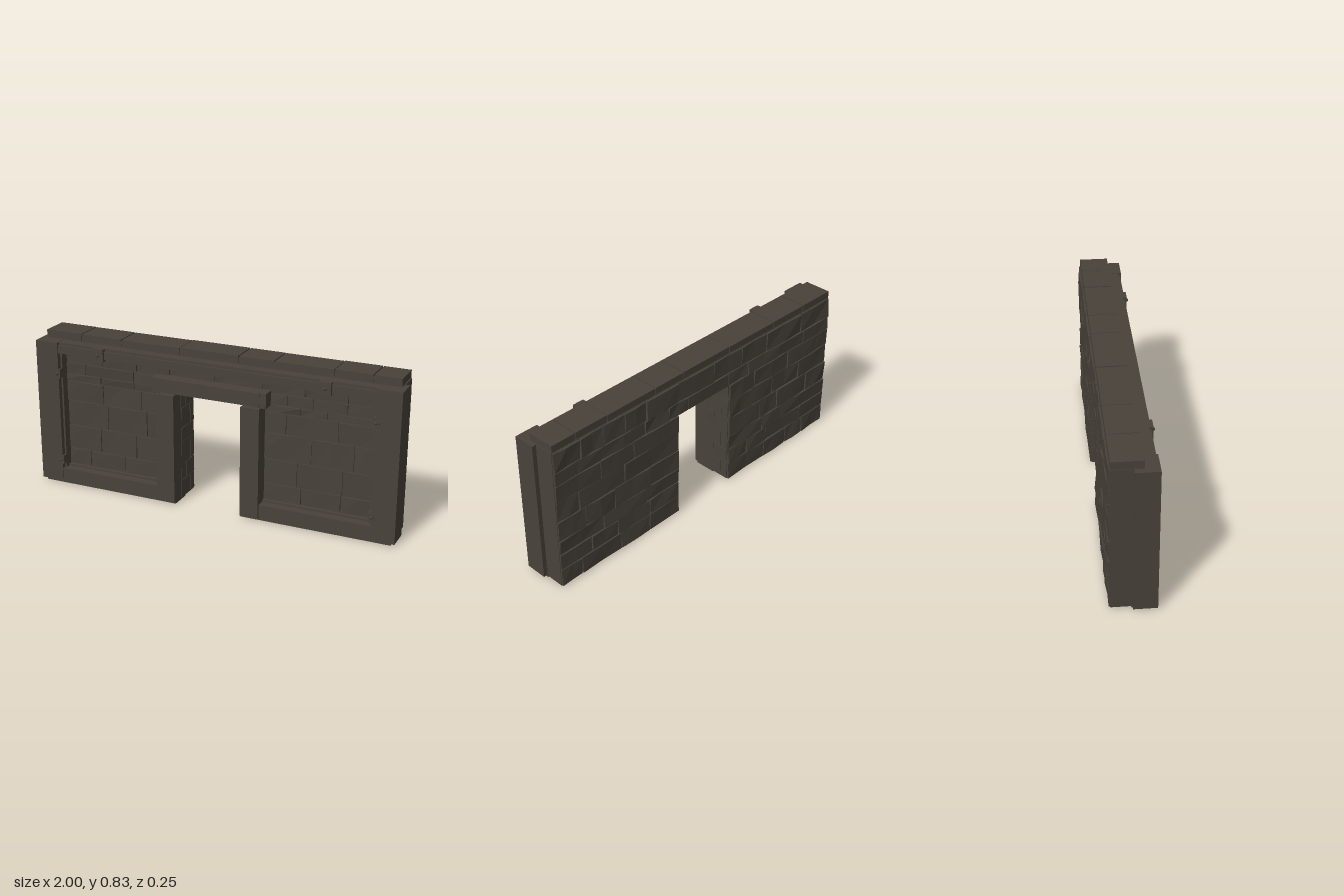
import * as THREE from 'three';

export function createModel() {
  const root = new THREE.Group();
  root.name = 'wallWithDoorway';
  const stone = new THREE.MeshStandardMaterial({ color: 0x48423a, flatShading: true });
  stone.name = 'dark stone';

  let seed = 7;
  const rnd = () => (seed = (seed * 16807) % 2147483647) / 2147483647;

  const add = (name, geo, parent = root) => {
    const m = new THREE.Mesh(geo, stone);
    m.name = name;
    parent.add(m);
    return m;
  };
  // Box given by its limits on each axis
  const box = (name, x0, x1, y0, y1, z0, z1, parent) => {
    const g = new THREE.BoxGeometry(x1 - x0, y1 - y0, z1 - z0);
    g.translate((x0 + x1) / 2, (y0 + y1) / 2, (z0 + z1) / 2);
    return add(name, g, parent);
  };

  // Wall core with the doorway cut out
  const L = -0.19, R = 0.18, TOP = 0.61, END = 0.973;
  const s = new THREE.Shape();
  [[-END, 0.008], [L, 0.008], [L, TOP], [R, TOP], [R, 0.008], [END, 0.008], [END, 0.795], [-END, 0.795]]
    .forEach(([x, y], i) => (i ? s.lineTo(x, y) : s.moveTo(x, y)));
  const core = new THREE.ExtrudeGeometry(s, { depth: 0.142, bevelEnabled: false });
  core.translate(0, 0, -0.11);
  add('wallCore', core);

  // Rough brick on the local xy plane, its +z face uneven
  const brick = (parent, x0, x1, y0, y1, depth, rough) => {
    const g = new THREE.BoxGeometry(x1 - x0 - 0.005, y1 - y0 - 0.005, depth, 2, 1, 1);
    const p = g.attributes.position;
    const offsets = new Map();
    for (let i = 0; i < p.count; i++) {
      if (p.getZ(i) < 0) continue;
      const key = p.getX(i).toFixed(3) + p.getY(i).toFixed(3);
      if (!offsets.has(key)) offsets.set(key, (rnd() - 0.7) * rough);
      p.setZ(i, p.getZ(i) + offsets.get(key));
    }
    g.translate((x0 + x1) / 2, (y0 + y1) / 2, depth / 2);
    g.computeVertexNormals();
    add('brick', g, parent);
  };
  const run = (parent, a, b, y0, y1, depth, rough) => {
    let x = a;
    while (x < b - 0.001) {
      let e = x + 0.13 + rnd() * 0.17;
      if (b - e < 0.09) e = b;
      brick(parent, x, e, y0, y1, depth, rough);
      x = e;
    }
  };
  const face = (name, rows, half, l, r, depth, rough) => {
    const g = new THREE.Group();
    g.name = name;
    for (let i = 0; i < rows.length - 1; i++) {
      const [y0, y1] = [rows[i], rows[i + 1]];
      if (y0 < TOP - 0.001) {
        run(g, -half, l, y0, y1, depth, rough);
        run(g, r, half, y0, y1, depth, rough);
      } else run(g, -half, half, y0, y1, depth, rough);
    }
    root.add(g);
    return g;
  };
  const back = face('backBricks', [0.008, 0.11, 0.2, 0.285, 0.4, 0.51, TOP, 0.685, 0.795], END, -R, -L, 0.012, 0.009);
  back.rotation.y = Math.PI;
  back.position.z = -0.109;
  const front = face('frontBricks', [0.085, 0.185, 0.32, 0.46, 0.57, TOP, 0.67, 0.76], 0.89, L - 0.05, R + 0.05, 0.011, 0.008);
  front.position.z = 0.031;

  // Bricks lining the doorway sides
  for (const [x, turn] of [[L, 1], [R, -1]]) {
    const jamb = new THREE.Group();
    jamb.name = 'doorwayBricks';
    const rows = [0.01, 0.11, 0.2, 0.32, 0.4, 0.51, 0.608];
    for (let i = 0; i < 6; i++) {
      const cut = i % 2 ? -0.02 : 0.03;
      brick(jamb, -0.075, cut, rows[i], rows[i + 1], 0.004, 0.003);
      brick(jamb, cut, 0.075, rows[i], rows[i + 1], 0.004, 0.003);
    }
    jamb.rotation.y = turn * Math.PI / 2;
    jamb.position.set(x - turn * 0.001, 0, -0.037);
    root.add(jamb);
  }

  // Coping stones
  const joints = [-0.975, -0.76, -0.525, -0.19, 0.135, 0.325, 0.635, 0.83, 0.972];
  for (let i = 0; i < joints.length - 1; i++) {
    box('copingStone', joints[i] + 0.003, joints[i + 1] - 0.003, 0.798, 0.836 - (i % 3) * 0.001, -0.11, 0.04);
  }
  box('copingBed', -0.97, 0.968, 0.79, 0.826, -0.106, 0.036);

  // Front frame: corner posts, rails and inner trim
  for (const side of [-1, 1]) {
    const a = side < 0 ? -1 : 0.87, b = side < 0 ? -0.87 : 0.995;
    box('cornerPost', a, b, 0.012, 0.793, -0.006, 0.11);
    const i0 = side < 0 ? -0.975 : R, i1 = side < 0 ? L : 0.975;
    box('bottomRail', i0, i1, 0.002, 0.085, -0.012, 0.106);
    box('bottomTrim', side < 0 ? -0.88 : 0.26, side < 0 ? -0.27 : 0.88, 0.08, 0.096, 0.03, 0.06);
    box('sideTrim', side < 0 ? -0.88 : 0.855, side < 0 ? -0.86 : 0.875, 0.085, 0.74, 0.03, 0.085);
    box('doorPost', side < 0 ? -0.29 : R, side < 0 ? L : 0.28, 0.012, 0.602, 0, 0.12);
  }
  box('topRail', -0.88, 0.88, 0.735, 0.778, 0.03, 0.104);
  box('topRailCap', -0.88, 0.88, 0.778, 0.792, 0.03, 0.092);
  box('topTrim', -0.87, 0.87, 0.722, 0.737, 0.03, 0.06);

  // Door lintel
  box('lintel', -0.28, 0.275, TOP, 0.682, 0.03, 0.111);
  box('lintelEnd', -0.322, -0.276, 0.605, 0.682, 0.03, 0.106);
  box('lintelEnd', 0.27, 0.31, 0.605, 0.682, 0.03, 0.106);

  // Fixing plates with bolts
  const plate = (x, y, w, h, z) => {
    box('fixingPlate', x - w / 2, x + w / 2, y - h / 2, y + h / 2, 0.08, z);
    add('bolt', new THREE.SphereGeometry(0.009, 10, 6)).position.set(x, y, z + 0.002);
  };
  plate(-0.625, 0.758, 0.062, 0.066, 0.115);
  plate(0.615, 0.758, 0.062, 0.066, 0.115);
  for (const x of [-0.878, 0.873]) for (const y of [0.625, 0.135]) plate(x, y, 0.036, 0.05, 0.112);

  return root;
}
